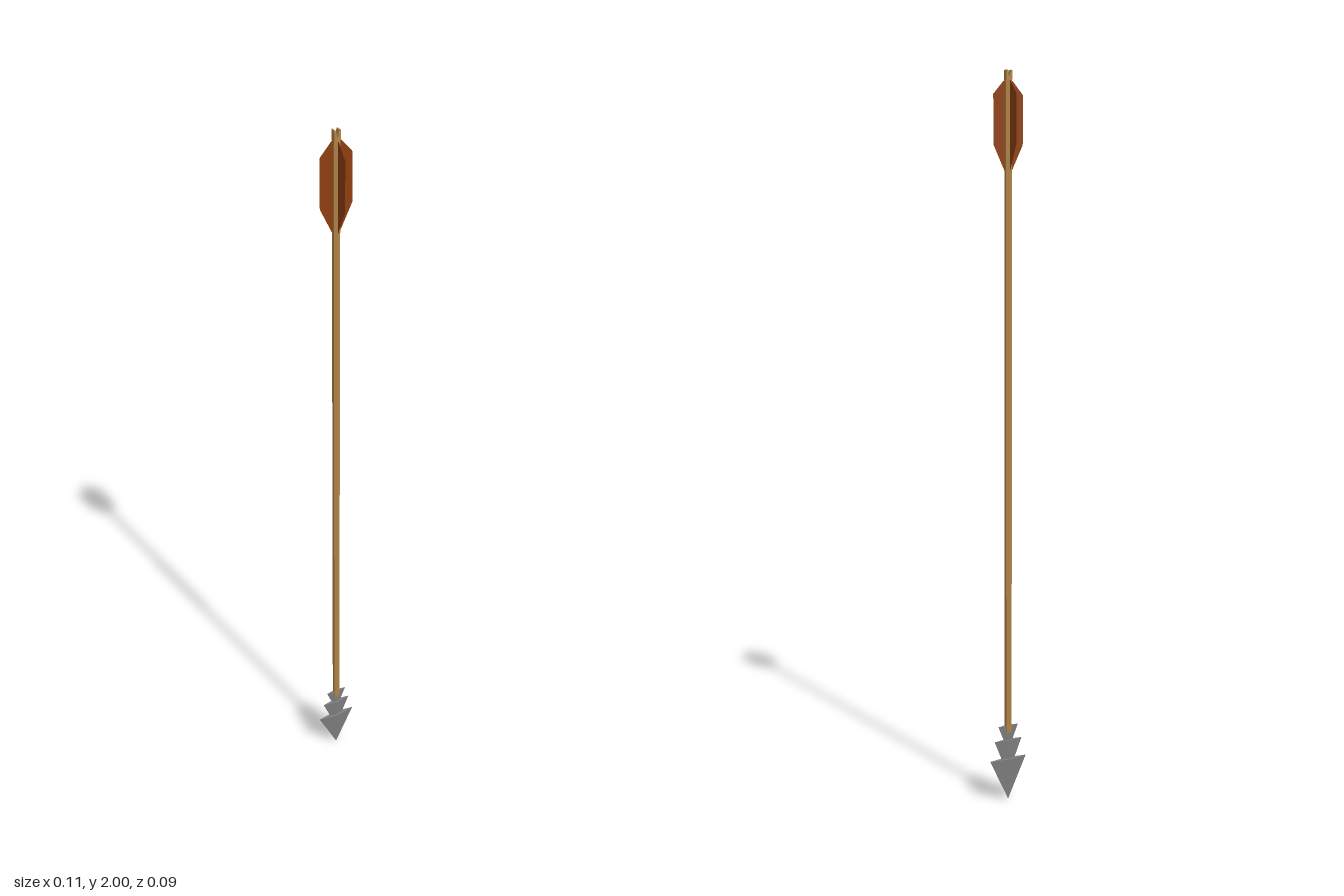
import * as THREE from 'three';

const make = (name, hex, extra = {}) => {
  const m = new THREE.MeshStandardMaterial({ color: hex, ...extra });
  m.name = name;
  return m;
};

export function createModel() {
  const wood = make('wood', 0xb5884a, { flatShading: true });
  const steel = make('steel', 0x808080, { flatShading: true });
  const feather = make('feather', 0x8f4010, { side: THREE.DoubleSide });
  const arrow = new THREE.Group();
  arrow.name = 'arrow';
  const add = (name, geometry, material) => {
    const mesh = new THREE.Mesh(geometry, material);
    mesh.name = name;
    arrow.add(mesh);
    return mesh;
  };

  // Six-sided shaft
  const R = 0.01, bottom = 0.2, top = 1.975;
  add('shaft', new THREE.CylinderGeometry(R, R, top - bottom, 6), wood)
    .position.y = (top + bottom) / 2;

  // Nock: two prongs around a V notch
  const W = R * 0.866;
  const nock = new THREE.Shape([
    [-W, top], [W, top], [W, 2], [0.005, 2], [0, 1.98], [-0.005, 2], [-W, 2],
  ].map(([x, y]) => new THREE.Vector2(x, y)));
  const nockGeo = new THREE.ExtrudeGeometry(nock, { depth: 0.014, bevelEnabled: false });
  nockGeo.translate(0, 0, -0.007);
  add('nock', nockGeo, wood);

  // Four thin feathers set in a cross
  const vane = new THREE.ShapeGeometry(new THREE.Shape([
    [0, 1.72], [0.044, 1.81], [0.044, 1.938], [0.013, 1.973], [0, 1.973],
  ].map(([x, y]) => new THREE.Vector2(x, y))));
  for (let i = 0; i < 4; i++) {
    add('feather' + (i + 1), vane, feather).rotation.y = i * Math.PI / 2;
  }

  // Barbed head: three flat diamond-section points, [tip y, base y, half width, half depth]
  [
    [0, 0.12, 0.057, 0.01],
    [0.07, 0.175, 0.043, 0.008],
    [0.14, 0.217, 0.031, 0.006],
  ].forEach(([y0, y1, w, d], i) => {
    const g = new THREE.ConeGeometry(1, y1 - y0, 4);
    g.rotateX(Math.PI);
    g.scale(w, 1, d);
    g.translate(0, (y0 + y1) / 2, 0);
    add('headPoint' + (i + 1), g, steel);
  });

  return arrow;
}
